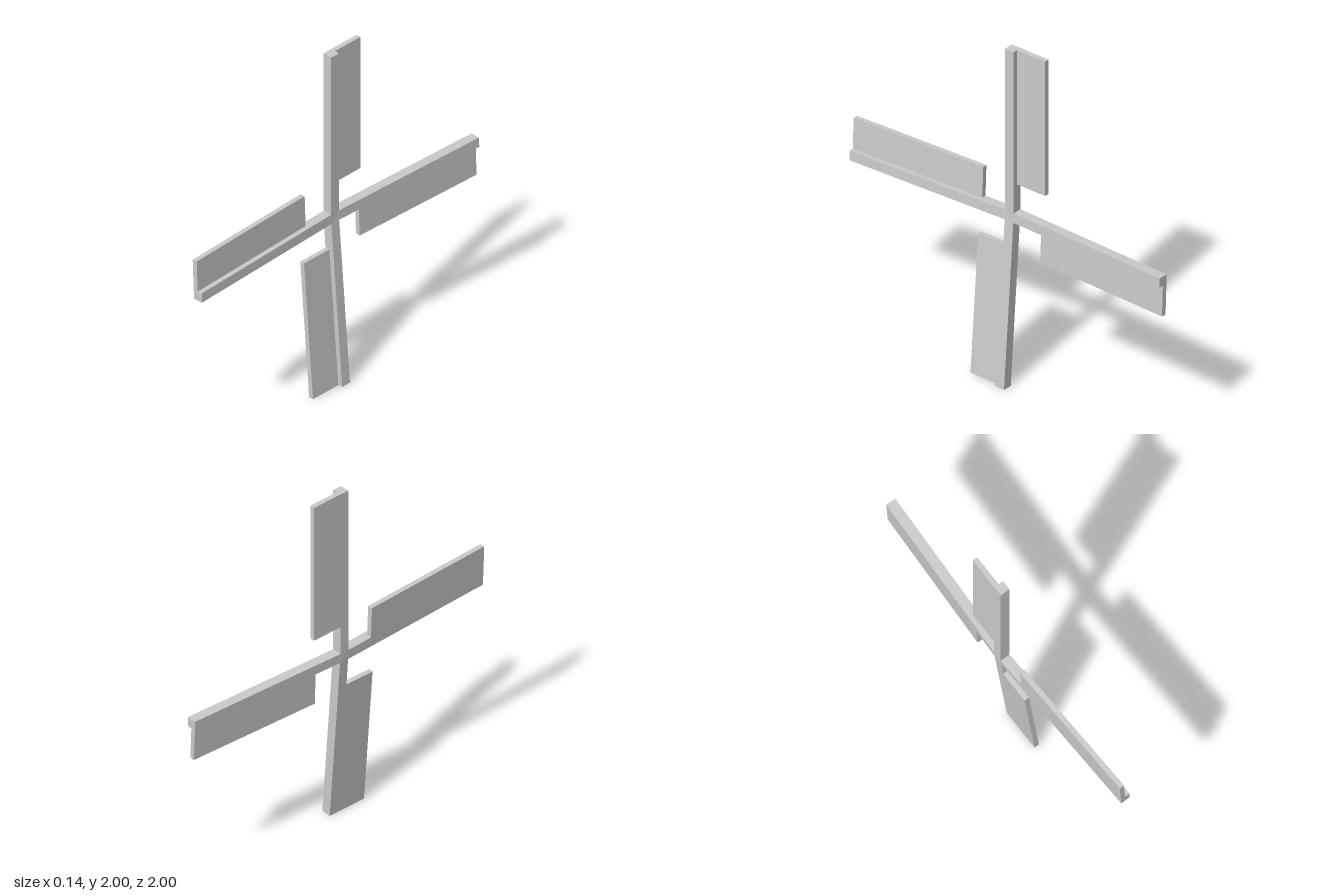
import * as THREE from 'three';

const BEAM = 0.056;   // square spar section
const LENGTH = 1;     // hub centre to tip
const CONE = 0.04;    // each spar leans forward (+x)
const TILT = 0.04;    // whole rotor leans back

const material = new THREE.MeshStandardMaterial({ color: 0xcccccc, flatShading: true });

function box(name, w, h, d, x, y, z) {
  const mesh = new THREE.Mesh(new THREE.BoxGeometry(w, h, d), material);
  mesh.name = name;
  mesh.position.set(x, y, z);
  return mesh;
}

// One spar along +y with a thin sail board flush with its back face
function createBlade() {
  const blade = new THREE.Group();
  const sailThick = 0.028, sailWidth = 0.182, sailStart = 0.19;
  const sailLength = LENGTH - sailStart;
  blade.add(box('spar', BEAM, LENGTH, BEAM, 0, LENGTH / 2, 0));
  blade.add(box('sailBoard', sailThick, sailLength, sailWidth,
    (sailThick - BEAM) / 2, sailStart + sailLength / 2, -(BEAM + sailWidth) / 2));
  return blade;
}

export function createModel() {
  const model = new THREE.Group();
  model.name = 'windmillSails';

  const rotor = new THREE.Group();
  rotor.name = 'rotor';
  rotor.position.set(-0.0425, 1.001, 0);
  rotor.rotation.z = TILT;

  // Four blades around the x axis
  for (let i = 0; i < 4; i++) {
    const blade = createBlade();
    blade.name = 'blade' + (i + 1);
    blade.rotation.set(i * Math.PI / 2, 0, -CONE);
    rotor.add(blade);
  }
  model.add(rotor);
  return model;
}
